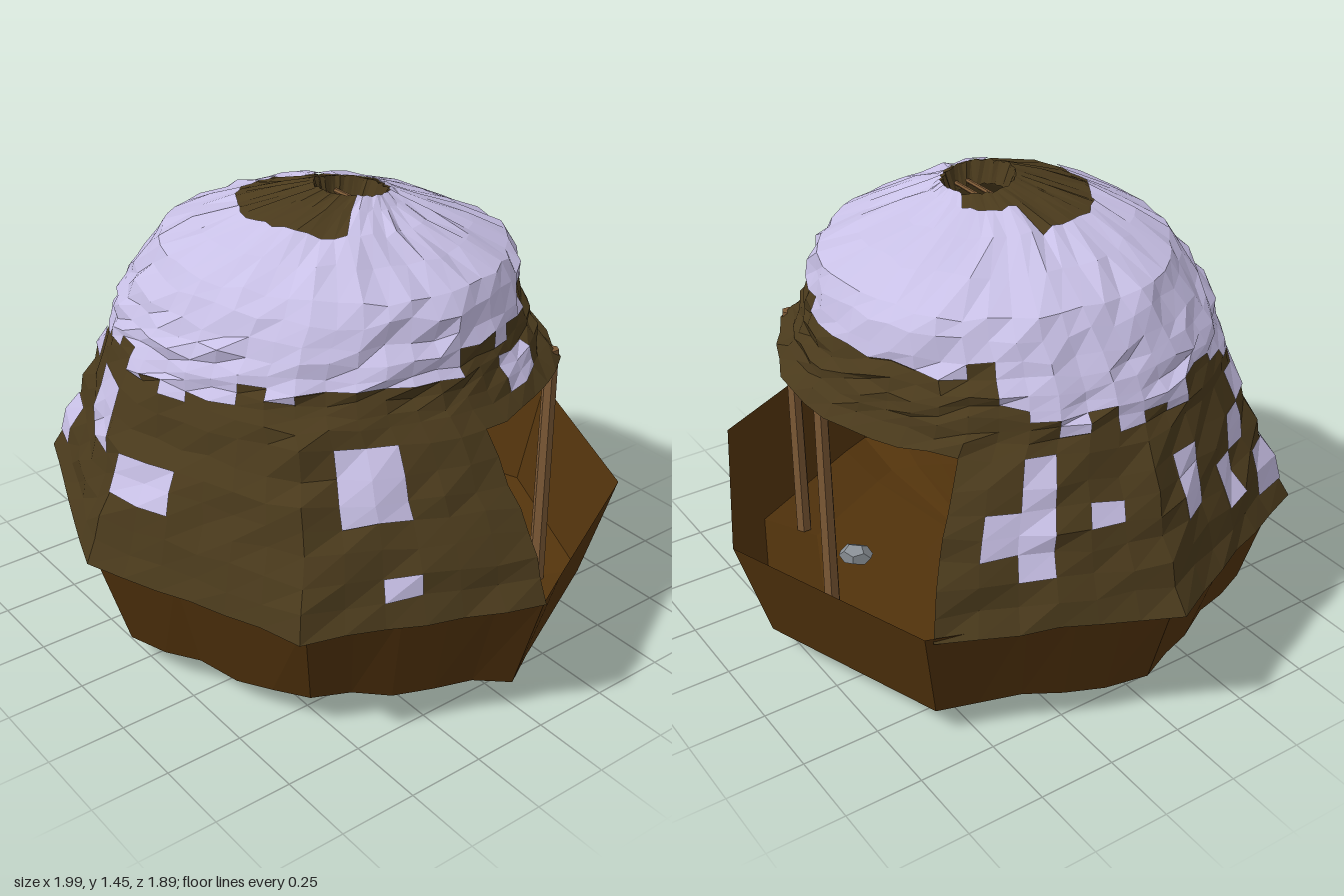
import * as THREE from 'three';

const mat = (color, side = THREE.DoubleSide) =>
  new THREE.MeshStandardMaterial({ color, side, flatShading: true });
const THATCH = mat(0x4a3a1c), SNOW = mat(0xc8c0e6, THREE.FrontSide), EARTH = mat(0x52330c);
const WOOD = mat(0x7d5a36), STONE = mat(0x8a9096), ASH = mat(0x15161a);

// repeatable noise in -1..1
const noise = (a, b = 0) => {
  const s = Math.sin(a * 127.1 + b * 311.7) * 43758.5453;
  return (s - Math.floor(s)) * 2 - 1;
};

function add(parent, name, geometry, material, x = 0, y = 0, z = 0) {
  const m = new THREE.Mesh(geometry, material);
  m.name = name;
  m.position.set(x, y, z);
  parent.add(m);
  return m;
}

// skin over rings of points listed upward, keeping only the wanted cells
function skin(rows, keep = () => true) {
  const pos = [];
  for (let i = 0; i < rows.length - 1; i++) {
    const n = rows[i].length;
    for (let j = 0; j < n; j++) {
      if (!keep(i, j)) continue;
      const k = (j + 1) % n;
      const a = rows[i][j], b = rows[i][k], c = rows[i + 1][j], d = rows[i + 1][k];
      for (const p of [a, c, b, b, c, d]) pos.push(p.x, p.y, p.z);
    }
  }
  const g = new THREE.BufferGeometry();
  g.setAttribute('position', new THREE.Float32BufferAttribute(pos, 3));
  g.computeVertexNormals();
  return g;
}

// straight pole between two points
function pole(parent, name, a, b, r) {
  const from = new THREE.Vector3(...a), to = new THREE.Vector3(...b);
  const dir = to.clone().sub(from);
  const m = add(parent, name, new THREE.CylinderGeometry(r * 0.85, r, dir.length(), 6), WOOD);
  m.position.copy(from).add(to).multiplyScalar(0.5);
  m.quaternion.setFromUnitVectors(new THREE.Vector3(0, 1, 0), dir.normalize());
}

// octagonal earth bowl: corners run from +x through the front
function buildBase(group) {
  const corners = [[0.98, 0], [0.67, 0.63], [0, 0.92], [-0.67, 0.67],
    [-0.95, 0], [-0.69, -0.69], [0.01, -0.94], [0.65, -0.65]];
  const STEPS = 5;
  const ring = (scale, y, wobble) => {
    const row = [];
    corners.forEach((c, s) => {
      const e = corners[(s + 1) % 8];
      for (let t = 0; t < STEPS; t++) {
        const f = t / STEPS, covered = s < 5 ? wobble : 0;
        const q = scale * (1 + covered * noise(s * STEPS + t, 3) * 0.6);
        row.push(new THREE.Vector3((c[0] + (e[0] - c[0]) * f) * q,
          y + covered * noise(s * STEPS + t, 7), (c[1] + (e[1] - c[1]) * f) * q));
      }
    });
    return row;
  };
  add(group, 'earthWall', skin([ring(0.885, 0.09, 0.02), ring(1, 0.445, 0.006)]), EARTH);
  add(group, 'earthFloor', skin([ring(0.001, 0.045, 0), ring(0.25, 0.04, 0.006),
    ring(0.68, 0.045, 0.012), ring(0.885, 0.09, 0.02)]), EARTH);
}

// thatched dome: octagonal at the eaves, round at the smoke hole, open at the back
function buildRoof(group) {
  // height, corner radius, centre x, centre z; the last row turns down into the smoke hole
  const profile = [[0.43, 0.98, 0, 0], [0.5, 0.945, 0, 0], [0.57, 0.915, 0, 0], [0.64, 0.875, 0, 0],
    [0.7, 0.845, -0.01, 0], [0.76, 0.81, -0.01, 0.01], [0.82, 0.775, -0.02, 0.01],
    [0.895, 0.735, -0.02, 0.02], [0.94, 0.7, -0.03, 0.03], [0.97, 0.685, -0.04, 0.03],
    [1, 0.67, -0.04, 0.03], [1.03, 0.655, -0.04, 0.03], [1.06, 0.642, -0.04, 0.03],
    [1.1, 0.622, -0.03, 0.025], [1.14, 0.6, -0.03, 0.02], [1.2, 0.575, -0.02, 0.005],
    [1.25, 0.54, -0.02, 0], [1.31, 0.42, -0.01, 0.01], [1.365, 0.29, 0.01, 0.03],
    [1.405, 0.18, 0.03, 0.01], [1.43, 0.115, 0.05, -0.01], [1.36, 0.09, 0.05, -0.01]];
  const N = 48, STEP = 360 / N;
  const point = (i, j, lift) => {
    const [y, r, cx, cz] = profile[i], deg = j * STEP, a = THREE.MathUtils.degToRad(deg);
    const oct = Math.cos(Math.PI / 8) / Math.cos(THREE.MathUtils.degToRad((deg % 45) - 22.5));
    const w = THREE.MathUtils.clamp((1.1 - y) / 0.6, 0, 1);
    const rough = i === 0 ? 0.008 : Math.min(0.014, r * 0.05);
    const q = r * (1 + (oct - 1) * w) + rough * noise(i, j) + lift;
    // the crown sits a little higher toward the front
    return new THREE.Vector3(Math.cos(a) * q * 1.015 + cx,
      y + rough * 0.7 * noise(j, i + 40) + (lift + 0.015 * Math.sin(a)) * (1 - w),
      Math.sin(a) * q * 0.97 + cz);
  };
  const rows = lift => profile.map((_, i) => Array.from({ length: N }, (_, j) => point(i, j, lift)));
  const solid = (i, j) => i >= 7 || j * STEP < 225;
  add(group, 'thatchRoof', skin(rows(0), solid), THATCH);

  // snow patches: angle from, angle to, height from, height to
  const patches = [[22, 38, 0.68, 0.9], [75, 90, 0.62, 0.77], [98, 112, 0.69, 0.88],
    [127, 143, 0.53, 0.64], [128, 142, 0.8, 0.9], [150, 158, 0.55, 0.7],
    [142, 150, 0.7, 0.82], [165, 173, 0.65, 0.85], [187, 195, 0.7, 0.78], [202, 210, 0.6, 0.88],
    [210, 218, 0.62, 0.76], [22, 30, 0.53, 0.59], [330, 345, 0.92, 1.04]];
  const snowy = (i, j) => {
    const d = (j + 0.5) * STEP, y = (profile[i][0] + profile[i + 1][0]) / 2, r = profile[i][1];
    const line = (d > 215 ? 1.11 : d > 60 && d < 200 ? 0.97 : 1.04) + 0.035 * noise(j, 9);
    const bare = d > 30 && d < 190 ? 0.3 : d > 190 && d < 240 ? 0.2 : 0.13;
    if (y > line) return r > bare;
    return solid(i, j) && patches.some(p => d > p[0] && d < p[1] && y > p[2] && y < p[3]);
  };
  add(group, 'snowCover', skin(rows(0.005), snowy), SNOW);

  // smoke hole bars
  for (const o of [-0.03, 0.01])
    pole(group, 'smokeHoleBar', [-0.05, 1.38, o], [0.15, 1.38, o], 0.008);
}

function buildInterior(group) {
  // posts holding the open eave
  for (const [x, z] of [[0.49, -0.465], [-0.03, -0.635]])
    pole(group, 'porchPost', [x, 0.06, z], [x, 0.92, z], 0.027);

  // fire pit
  const fire = new THREE.Group();
  fire.name = 'firePit';
  group.add(fire);
  add(fire, 'ash', new THREE.IcosahedronGeometry(0.045, 1), ASH, -0.01, 0.045, 0.02);
  for (let i = 0; i < 12; i++) {
    const a = i / 12 * Math.PI * 2;
    const s = add(fire, 'hearthStone', new THREE.DodecahedronGeometry(0.03), STONE,
      Math.cos(a) * 0.135, 0.055, Math.sin(a) * 0.135);
    s.scale.set(0.8, 0.75 + 0.1 * noise(i), 1.1);
    s.rotation.y = -a;
  }
  for (let i = 0; i < 6; i++) {
    const a = i / 6 * Math.PI * 2 + 0.3;
    pole(fire, 'firewood', [Math.cos(a) * 0.1, 0.06, Math.sin(a) * 0.1],
      [-Math.cos(a) * 0.02, 0.11, -Math.sin(a) * 0.02], 0.011);
  }

  // drying rack beside the fire
  for (const x of [0.04, 0.3])
    for (const s of [-1, 1])
      pole(group, 'rackLeg', [x + 0.05 * s, 0.05, 0.15 + 0.05 * s], [x - 0.02 * s, 0.3, 0.15], 0.009);
  pole(group, 'rackBar', [0, 0.28, 0.15], [0.34, 0.28, 0.15], 0.008);

  // flat stones on the floor: x, height, z, length, turn
  for (const [x, y, z, len, turn] of [[0.2, 0.07, 0.33, 0.2, 0.4], [-0.28, 0.07, -0.08, 0.14, 1.2],
    [0.2, 0.1, -0.42, 0.12, 0.8]]) {
    const s = add(group, 'floorStone', new THREE.DodecahedronGeometry(0.5), STONE, x, y, z);
    s.scale.set(len, 0.08, 0.08);
    s.rotation.y = turn;
  }
}

export function createModel() {
  const group = new THREE.Group();
  group.name = 'earthHut';
  buildBase(group);
  buildRoof(group);
  buildInterior(group);
  return group;
}
